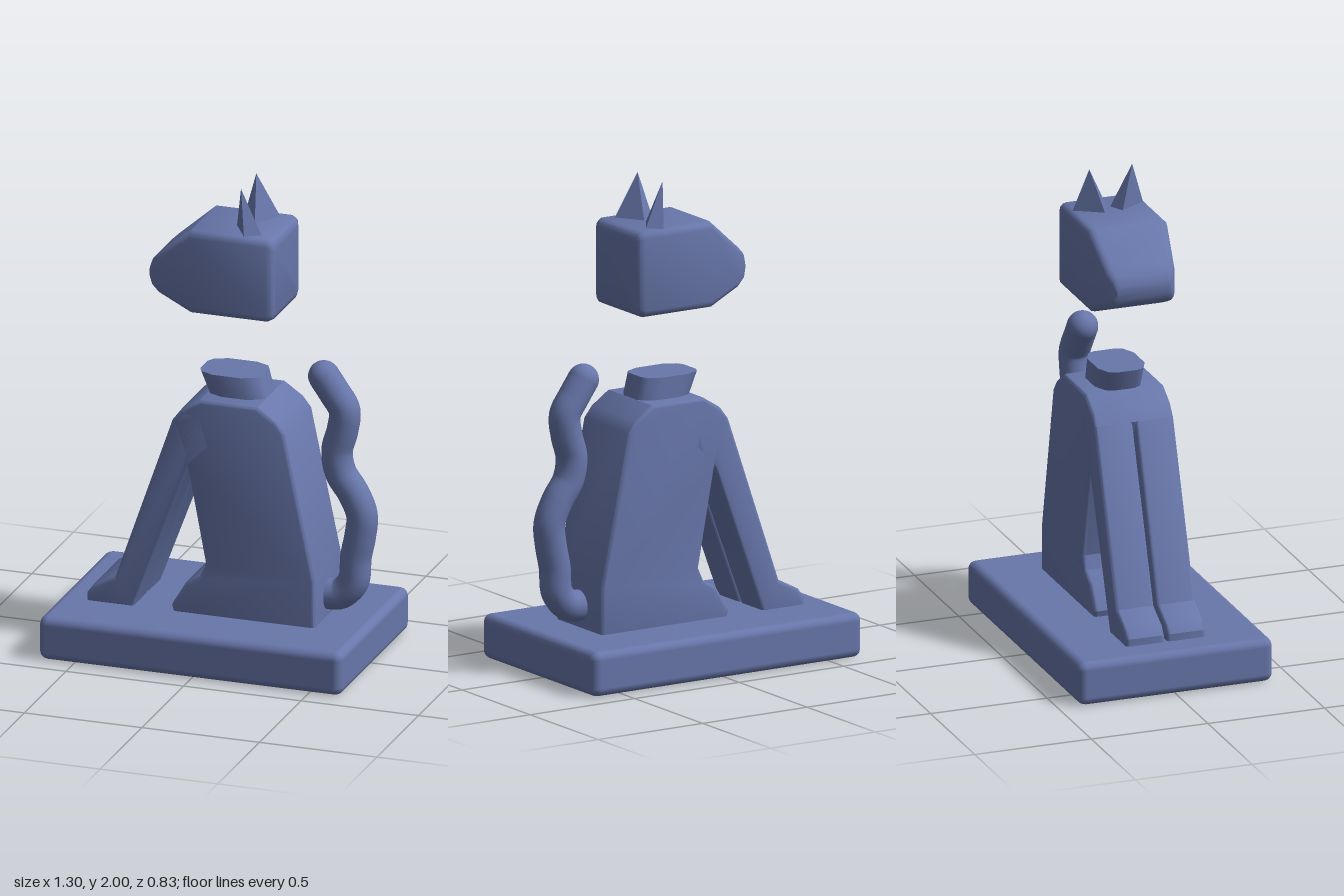
import * as THREE from 'three';
import { toCreasedNormals } from 'three/addons/utils/BufferGeometryUtils.js';
import { RoundedBoxGeometry } from 'three/addons/geometries/RoundedBoxGeometry.js';
import { ConvexGeometry } from 'three/addons/geometries/ConvexGeometry.js';

const V = (x, y, z = 0) => new THREE.Vector3(x, y, z);

// Side outline extruded along z from z0 to z1, with soft edges kept inside the outline
function slab(points, z0, z1, bevel) {
  const shape = new THREE.Shape(points.map(([x, y]) => new THREE.Vector2(x, y)));
  const geo = new THREE.ExtrudeGeometry(shape, {
    depth: z1 - z0 - 2 * bevel, bevelEnabled: true, bevelThickness: bevel,
    bevelSize: bevel, bevelOffset: -bevel, bevelSegments: 3,
  });
  geo.translate(0, 0, z0 + bevel);
  return toCreasedNormals(geo, 0.6);
}

// Rounded rectangle in (z, y), four points per corner
function roundedRing(x, y0, y1, hz, r) {
  const ring = [];
  const corners = [[hz - r, y1 - r], [r - hz, y1 - r], [r - hz, y0 + r], [hz - r, y0 + r]];
  corners.forEach(([z, y], c) => {
    for (let k = 0; k < 4; k++) {
      const a = (c + k / 3) * Math.PI / 2;
      ring.push(V(x, y + r * Math.sin(a), z + r * Math.cos(a)));
    }
  });
  return ring;
}

// Skin over a row of rings, closed at both ends
function loft(rings, crease) {
  const n = rings[0].length, pos = [], idx = [];
  rings.forEach(r => r.forEach(p => pos.push(p.x, p.y, p.z)));
  const last = (rings.length - 1) * n;
  for (let i = 0; i < rings.length - 1; i++) {
    for (let j = 0; j < n; j++) {
      const a = i * n + j, b = i * n + (j + 1) % n;
      idx.push(a, b, a + n, b, b + n, a + n);
    }
  }
  for (let j = 1; j < n - 1; j++) idx.push(0, j + 1, j, last, last + j, last + j + 1);
  const geo = new THREE.BufferGeometry();
  geo.setAttribute('position', new THREE.Float32BufferAttribute(pos, 3));
  geo.setIndex(idx);
  // Make sure the skin faces outward
  let vol = 0;
  const p = i => V(pos[3 * i], pos[3 * i + 1], pos[3 * i + 2]);
  for (let t = 0; t < idx.length; t += 3) vol += p(idx[t]).dot(p(idx[t + 1]).cross(p(idx[t + 2])));
  if (vol < 0) {
    for (let t = 0; t < idx.length; t += 3) [idx[t + 1], idx[t + 2]] = [idx[t + 2], idx[t + 1]];
    geo.setIndex(idx);
  }
  return toCreasedNormals(geo, crease);
}

export function createModel() {
  const model = new THREE.Group();
  model.name = 'catStatue';
  const mat = new THREE.MeshStandardMaterial({ color: 0x6877ab });
  const add = (name, geo, parent = model) => {
    const mesh = new THREE.Mesh(geo, mat);
    mesh.name = name;
    parent.add(mesh);
    return mesh;
  };

  // Plinth
  add('plinth', new RoundedBoxGeometry(1.29, 0.185, 0.835, 2, 0.035)).position.set(-0.005, 0.0925, 0);

  // Torso with haunches and hind paws
  add('torso', slab([
    [-0.16, 0.17], [0.44, 0.17], [0.44, 0.38], [0.31, 1.0], [0.275, 1.045], [0.195, 1.1],
    [-0.05, 1.1], [-0.13, 1.05], [-0.168, 1.0], [-0.1, 0.8], [-0.025, 0.4], [-0.05, 0.345],
    [-0.11, 0.31], [-0.17, 0.21],
  ], -0.17, 0.17, 0.015));

  // Front legs with a narrow gap between them
  for (const side of [1, -1]) {
    const inner = 0.006, outer = 0.17;
    add(side > 0 ? 'frontLegNear' : 'frontLegFar', slab([
      [-0.53, 0.17], [-0.335, 0.17], [-0.1, 0.8], [0.0, 0.9], [-0.04, 1.04], [-0.12, 1.05],
      [-0.168, 1.0], [-0.41, 0.3], [-0.505, 0.25], [-0.53, 0.215],
    ], side > 0 ? inner : -outer, side > 0 ? outer : -inner, 0.015));
  }

  // Neck stub: chamfered, flaring and leaning forward
  const neckRing = (y, x0, x1) => {
    const c = 0.07, h = 0.1, k = 0.045;
    return [[x0, k], [x0 + 0.015, 0.075], [x0 + c, h], [x1 - c, h], [x1 - 0.015, 0.075], [x1, k],
      [x1, -k], [x1 - 0.015, -0.075], [x1 - c, -h], [x0 + c, -h], [x0 + 0.015, -0.075], [x0, -k]]
      .map(([x, z]) => V(x, y, z));
  };
  add('neck', loft([neckRing(1.06, -0.035, 0.205), neckRing(1.19, -0.09, 0.172)], 0.7));

  // Floating head, tapering to the muzzle
  const head = new THREE.Group();
  head.name = 'head';
  model.add(head);
  add('skull', loft([
    [-0.281, 1.575, 1.63, 0.115, 0.02], [-0.267, 1.548, 1.664, 0.13, 0.026],
    [-0.235, 1.525, 1.694, 0.146, 0.03], [-0.09, 1.465, 1.82, 0.17, 0.03],
    [0.232, 1.465, 1.82, 0.17, 0.03], [0.253, 1.475, 1.81, 0.161, 0.027],
    [0.261, 1.495, 1.79, 0.145, 0.02],
  ].map(s => roundedRing(...s)), 0.75), head);

  // Ears: pointed four-sided spikes, angled outward
  for (const side of [1, -1]) {
    const ear = new ConvexGeometry([[0.1, 2.0, 0.092], [0.062, 1.81, 0.035], [0.135, 1.81, 0.154],
      [0.2, 1.81, 0.115], [0.125, 1.81, 0.002]].map(([x, y, z]) => V(x, y, side * z)));
    add(side > 0 ? 'earNear' : 'earFar', ear, head);
  }

  // Wavy tail with rounded ends
  const path = [[0.42, 0.275], [0.49, 0.282], [0.545, 0.34], [0.557, 0.45], [0.575, 0.54],
    [0.582, 0.63], [0.545, 0.72], [0.492, 0.8], [0.476, 0.89], [0.5, 0.985], [0.508, 1.07],
    [0.465, 1.14], [0.42, 1.205]].map(([x, y]) => V(x, y));
  const tail = new THREE.Group();
  tail.name = 'tail';
  model.add(tail);
  add('tailTube', new THREE.TubeGeometry(new THREE.CatmullRomCurve3(path), 72, 0.064, 18), tail);
  for (const [name, p] of [['tailRoot', path[0]], ['tailTip', path[path.length - 1]]]) {
    add(name, new THREE.SphereGeometry(0.064, 18, 12), tail).position.copy(p);
  }

  return model;
}
